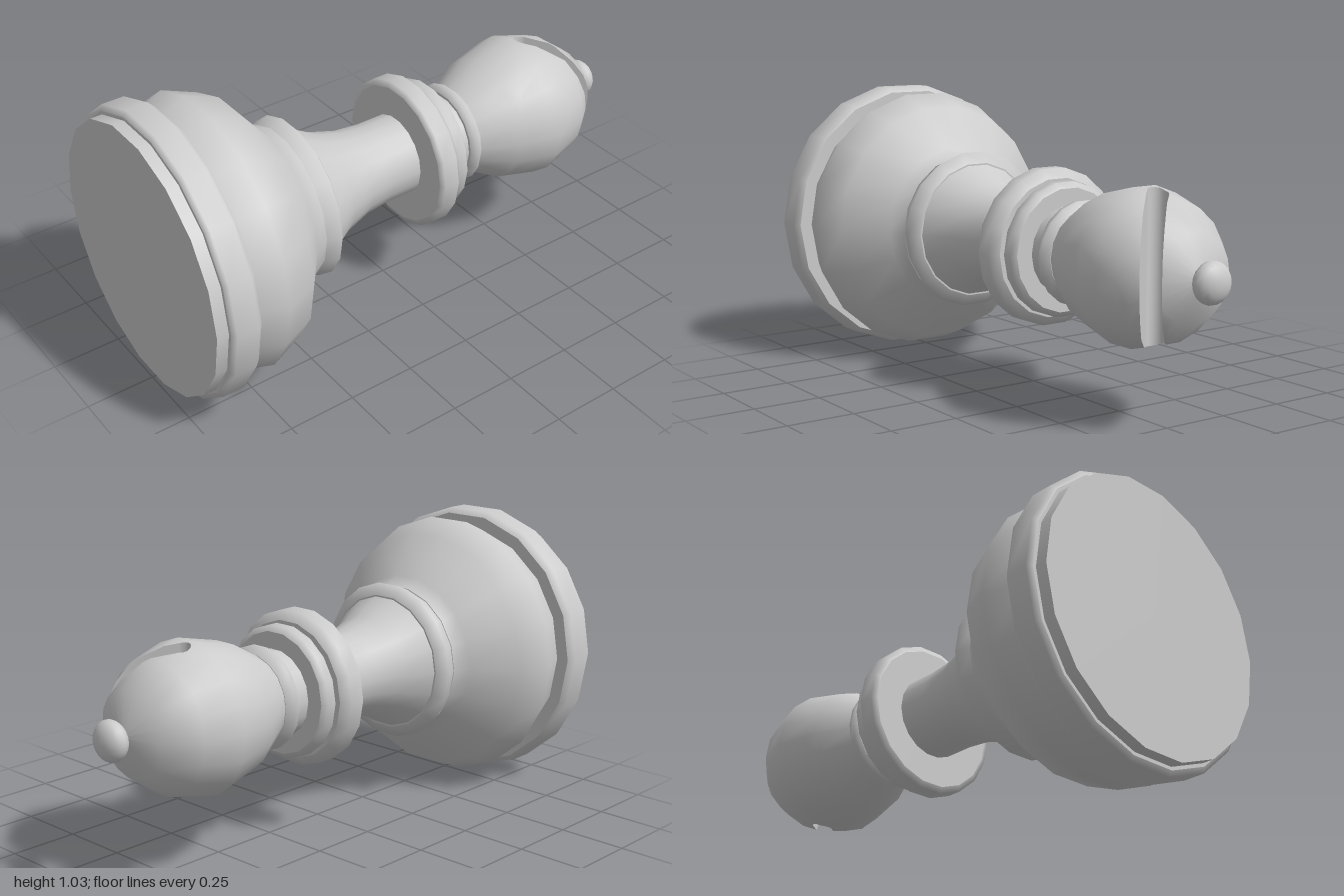
import * as THREE from 'three';

const SIDES = 18;
const STEP = (Math.PI * 2) / SIDES;
const material = new THREE.MeshStandardMaterial({ color: 0xcccccc });

// Turned surface along z; points are [radius, z], running from the foot (+z) to the tip (-z)
function turned(points) {
  const profile = points.map(([r, z]) => new THREE.Vector2(r, -z));
  return new THREE.LatheGeometry(profile, SIDES, Math.PI / 2).rotateX(-Math.PI / 2);
}

function part(name, geometry) {
  const mesh = new THREE.Mesh(geometry, material);
  mesh.name = name;
  return mesh;
}

// Rounded rim closed by a flat face at both ends
function ring(name, rim, inner) {
  const g = new THREE.Group();
  g.name = name;
  const first = rim[0], last = rim[rim.length - 1];
  g.add(
    part(name + 'Rim', turned(rim)),
    part(name + 'FrontFace', turned([[inner, first[1]], first])),
    part(name + 'BackFace', turned([last, [inner, last[1]]]))
  );
  return g;
}

// Head profile and the slanted slot cut through it
const HEAD = [[0.163, -0.327], [0.234, -0.453], [0.274, -0.62], [0.235, -0.76], [0.15, -0.872], [0, -0.91]];
const SLOT = { x: -0.02, z: -0.668, half: 0.0355, length: 0.32 };

function slotPoint(s, t) {
  const k = Math.SQRT1_2;
  return [SLOT.x + (s + t) * k, SLOT.z + (t - s) * k];
}

// Outline of the slot in x and z: one wall, round end, other wall
function slotOutline(wallSteps) {
  const w = SLOT.half, pts = [], arc = 8;
  for (let i = wallSteps; i > 0; i--) pts.push(slotPoint((SLOT.length * i) / wallSteps, -w));
  for (let i = 0; i <= arc; i++) {
    const a = -Math.PI / 2 - (Math.PI * i) / arc;
    pts.push(slotPoint(w * Math.cos(a), w * Math.sin(a)));
  }
  for (let i = 1; i <= wallSteps; i++) pts.push(slotPoint((SLOT.length * i) / wallSteps, w));
  return pts;
}

// Half height of the many-sided head above a point in x and z
function headHeight(x, z) {
  const i = HEAD.findIndex((p, j) => j > 0 && z >= p[1]);
  if (i < 1) return 0;
  const [r0, z0] = HEAD[i - 1], [r1, z1] = HEAD[i];
  const r = r0 + ((r1 - r0) * (z - z0)) / (z1 - z0);
  const q = Math.abs(x) / r;
  if (!(q < 1)) return 0;
  const k = Math.floor(Math.acos(q) / STEP);
  const a = k * STEP, b = a + STEP;
  const f = (Math.cos(a) - q) / (Math.cos(a) - Math.cos(b));
  return r * (Math.sin(a) + f * (Math.sin(b) - Math.sin(a)));
}

// Splits a polygon by a line in x and z; returns [inside, outside]
function split(poly, dist) {
  const inside = [], outside = [];
  poly.forEach((p, i) => {
    const q = poly[(i + 1) % poly.length];
    const a = dist(p), b = dist(q);
    (a >= 0 ? inside : outside).push(p);
    if ((a >= 0) !== (b >= 0)) {
      const m = p.map((v, j) => v + ((q[j] - v) * a) / (a - b));
      inside.push(m);
      outside.push(m);
    }
  });
  return [inside, outside];
}

// Head surface with the slot removed
function slottedHead() {
  const src = turned(HEAD).toNonIndexed();
  const pos = src.attributes.position, nor = src.attributes.normal;
  const outline = slotOutline(1);
  const mid = slotPoint(0.1, 0);
  const lines = outline.slice(1).map((q, i) => {
    const p = outline[i];
    const side = (x, z) => (q[0] - p[0]) * (z - p[1]) - (q[1] - p[1]) * (x - p[0]);
    const sign = Math.sign(side(mid[0], mid[1]));
    return (v) => sign * side(v[0], v[2]);
  });
  const positions = [], normals = [];
  const emit = (poly) => {
    for (let i = 1; i + 1 < poly.length; i++) {
      for (const v of [poly[0], poly[i], poly[i + 1]]) {
        positions.push(v[0], v[1], v[2]);
        normals.push(v[3], v[4], v[5]);
      }
    }
  };
  for (let t = 0; t < pos.count; t += 3) {
    let rest = [t, t + 1, t + 2].map((i) => [
      pos.getX(i), pos.getY(i), pos.getZ(i), nor.getX(i), nor.getY(i), nor.getZ(i),
    ]);
    for (const line of lines) {
      const [inside, outside] = split(rest, line);
      emit(outside);
      rest = inside;
      if (rest.length < 3) break;
    }
  }
  const geo = new THREE.BufferGeometry();
  geo.setAttribute('position', new THREE.Float32BufferAttribute(positions, 3));
  geo.setAttribute('normal', new THREE.Float32BufferAttribute(normals, 3));
  return geo;
}

// Inner walls of the slot, reaching the head surface above and below
function slotWalls() {
  const positions = [], index = [];
  slotOutline(64).forEach(([x, z], i) => {
    const h = headHeight(x, z);
    positions.push(x, -h, z, x, h, z);
    if (i > 0) {
      const a = 2 * i - 2;
      index.push(a, a + 1, a + 2, a + 2, a + 1, a + 3);
    }
  });
  const geo = new THREE.BufferGeometry();
  geo.setAttribute('position', new THREE.Float32BufferAttribute(positions, 3));
  geo.setIndex(index);
  geo.computeVertexNormals();
  return geo;
}

export function createModel() {
  const piece = new THREE.Group();
  piece.name = 'chessPiece';

  // Foot
  piece.add(
    part('footBottom', turned([[0, 1], [0.493, 1]])),
    part('footEdge', turned([[0.493, 1], [0.493, 0.95]])),
    ring('footRing', [[0.505, 0.957], [0.525, 0.945], [0.525, 0.865], [0.505, 0.845]], 0.44),
    part('bulge', turned([[0.456, 0.847], [0.503, 0.735], [0.455, 0.612], [0.308, 0.497], [0.28, 0.44]]))
  );

  // Stem
  piece.add(
    ring('stemRing', [[0.275, 0.442], [0.298, 0.388], [0.255, 0.363]], 0.2),
    part('stem', turned([[0.25, 0.365], [0.19, 0.258], [0.16, 0.155], [0.151, 0.06], [0.151, -0.06]]))
  );

  // Collars under the head
  piece.add(
    ring('largeCollar', [[0.262, -0.056], [0.284, -0.067], [0.284, -0.125], [0.25, -0.149]], 0.14),
    ring('smallCollar', [[0.225, -0.149], [0.242, -0.163], [0.242, -0.198], [0.222, -0.213]], 0.14),
    part('collarNeck', turned([[0.16, -0.21], [0.16, -0.275]])),
    ring('headRing', [[0.17, -0.272], [0.188, -0.285], [0.188, -0.305], [0.165, -0.327]], 0.14)
  );

  // Slotted head with its finial
  const finial = part('finial', new THREE.SphereGeometry(0.072, SIDES, 10).rotateX(-Math.PI / 2));
  finial.scale.z = 0.65;
  finial.position.z = -0.953;
  piece.add(part('head', slottedHead()), part('slotWalls', slotWalls()), finial);

  piece.position.y = 0.517;
  const model = new THREE.Group();
  model.add(piece);
  return model;
}
